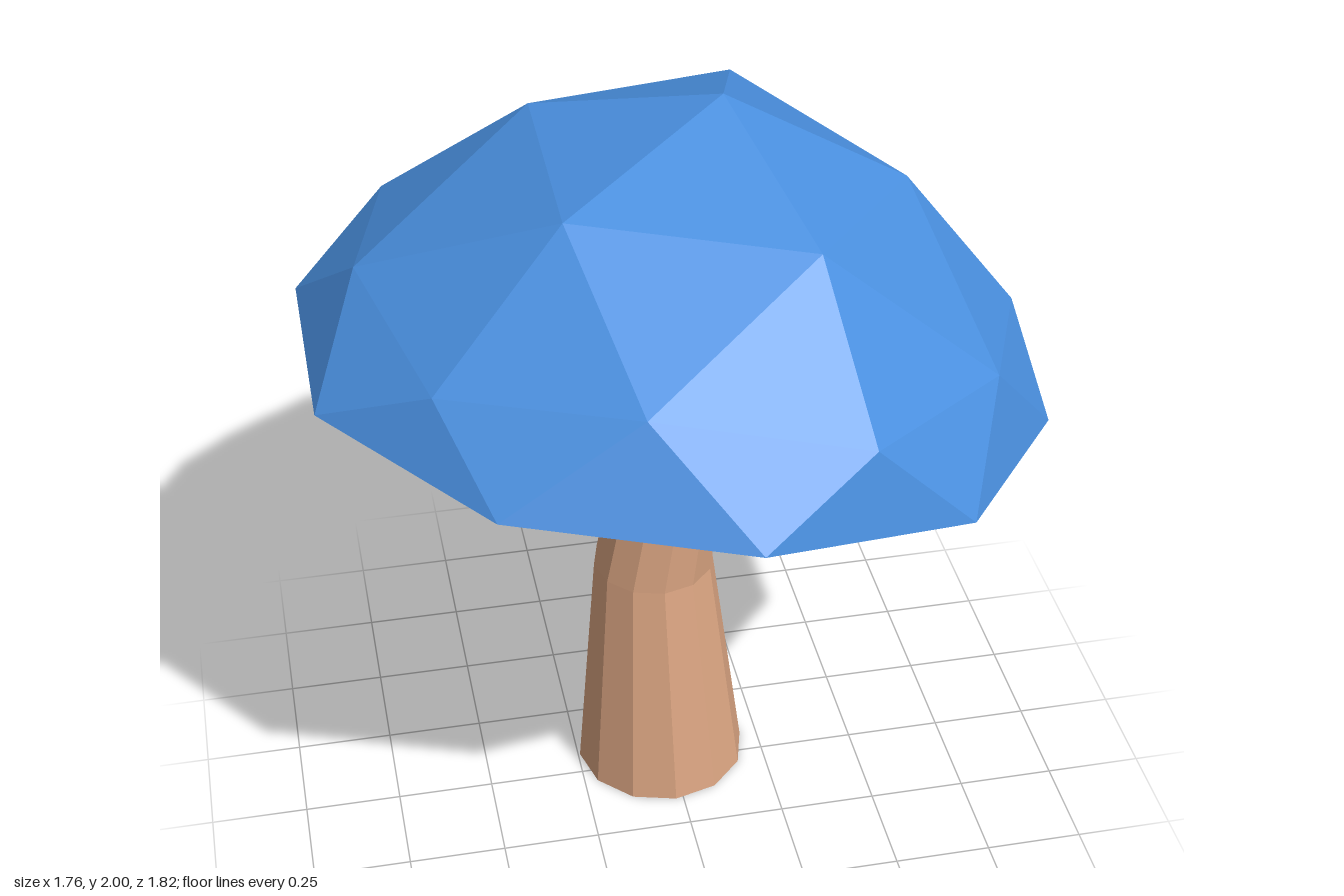
import * as THREE from 'three';

// Flat-shaded geometry from a list of corner points, three per face
function facets(points) {
  const g = new THREE.BufferGeometry();
  g.setAttribute('position', new THREE.Float32BufferAttribute(points.flat(), 3));
  g.computeVertexNormals();
  return g;
}

// Faces from an apex through a ring of 5 to a ring of 10; start is the index in the ring of 10 below ring5[0]
function domeFaces(apex, ring5, ring10, start, flip) {
  const out = [];
  const tri = (a, b, c) => out.push(a, ...(flip ? [c, b] : [b, c]));
  for (let i = 0; i < 5; i++) {
    const a = ring5[i], b = ring5[(i + 1) % 5];
    const [p, q, r] = [0, 1, 2].map((n) => ring10[(start + 2 * i + n) % 10]);
    tri(apex, b, a);
    tri(a, q, p);
    tri(a, b, q);
    tri(b, r, q);
  }
  return out;
}

// Zigzag band between the rim and a ring of 10 turned by half a step
function bandFaces(ring, rim, flip) {
  const out = [];
  const tri = (a, b, c) => out.push(a, ...(flip ? [c, b] : [b, c]));
  for (let k = 0; k < 10; k++) {
    const n = (k + 1) % 10;
    tri(ring[k], rim[k], rim[(k + 9) % 10]);
    tri(rim[k], ring[k], ring[n]);
  }
  return out;
}

function createCap() {
  // Rings run from +x towards +z
  const apex = [0.13, 2, -0.05];
  const crown = [
    [0.58, 1.74, -0.04], [0.25, 1.84, 0.43], [-0.3, 1.89, 0.27], [-0.29, 1.89, -0.3], [0.25, 1.82, -0.51],
  ];
  const shoulder = [
    [0.86, 1.38, -0.01], [0.68, 1.47, 0.44], [0.3, 1.54, 0.77], [-0.2, 1.66, 0.73], [-0.63, 1.61, 0.48],
    [-0.75, 1.67, 0], [-0.64, 1.61, -0.47], [-0.2, 1.65, -0.74], [0.3, 1.53, -0.8], [0.68, 1.47, -0.48],
  ];
  const rim = [
    [0.88, 1.2, 0.27], [0.55, 1.28, 0.73], [0.02, 1.4, 0.91], [-0.53, 1.445, 0.74], [-0.88, 1.47, 0.29],
    [-0.88, 1.47, -0.26], [-0.55, 1.445, -0.72], [0, 1.39, -0.91], [0.54, 1.28, -0.74], [0.88, 1.2, -0.28],
  ];
  const lip = [
    [0.77, 1.11, 0], [0.62, 1.15, 0.44], [0.24, 1.28, 0.7], [-0.26, 1.355, 0.7], [-0.63, 1.35, 0.45],
    [-0.84, 1.36, 0], [-0.63, 1.35, -0.45], [-0.26, 1.355, -0.7], [0.24, 1.28, -0.7], [0.62, 1.15, -0.45],
  ];
  // Hollow underside
  const hollow = [];
  for (let i = 0; i < 5; i++) {
    const a = ((36 + 72 * i) * Math.PI) / 180;
    const x = 0.04 + 0.38 * Math.cos(a);
    hollow.push([x, 1.43 - 0.14 * x, 0.38 * Math.sin(a) - 0.02]);
  }
  return facets([
    ...domeFaces(apex, crown, shoulder, 0, false),
    ...bandFaces(shoulder, rim, false),
    ...bandFaces(lip, rim, true),
    ...domeFaces([0.06, 1.48, -0.03], hollow, lip, 1, true),
  ]);
}

function createStem() {
  // Cross-sections: centre x, y, centre z, radius
  const sections = [
    [-0.02, 0, -0.07, 0.225], [-0.035, 0.65, -0.08, 0.157], [0.05, 1.22, -0.06, 0.13], [0.04, 1.5, -0.06, 0.12],
  ];
  const sides = 12;
  const at = ([x, y, z, r], k) => {
    const a = (k / sides) * Math.PI * 2;
    return [x + r * Math.cos(a), y, z + r * Math.sin(a)];
  };
  const out = [];
  for (let k = 0; k < sides; k++) {
    for (let s = 0; s < sections.length - 1; s++) {
      const lo = sections[s], hi = sections[s + 1];
      out.push(at(lo, k), at(hi, k), at(hi, k + 1), at(lo, k), at(hi, k + 1), at(lo, k + 1));
    }
    const base = sections[0], top = sections[sections.length - 1];
    out.push(base.slice(0, 3), at(base, k), at(base, k + 1));
    out.push(top.slice(0, 3), at(top, k + 1), at(top, k));
  }
  return facets(out);
}

export function createModel() {
  const model = new THREE.Group();
  model.name = 'mushroom';
  const add = (name, geometry, color) => {
    const mesh = new THREE.Mesh(geometry, new THREE.MeshStandardMaterial({ color, flatShading: true }));
    mesh.name = name;
    model.add(mesh);
  };
  add('cap', createCap(), 0x4a90e0);
  add('stem', createStem(), 0xdba582);
  return model;
}
